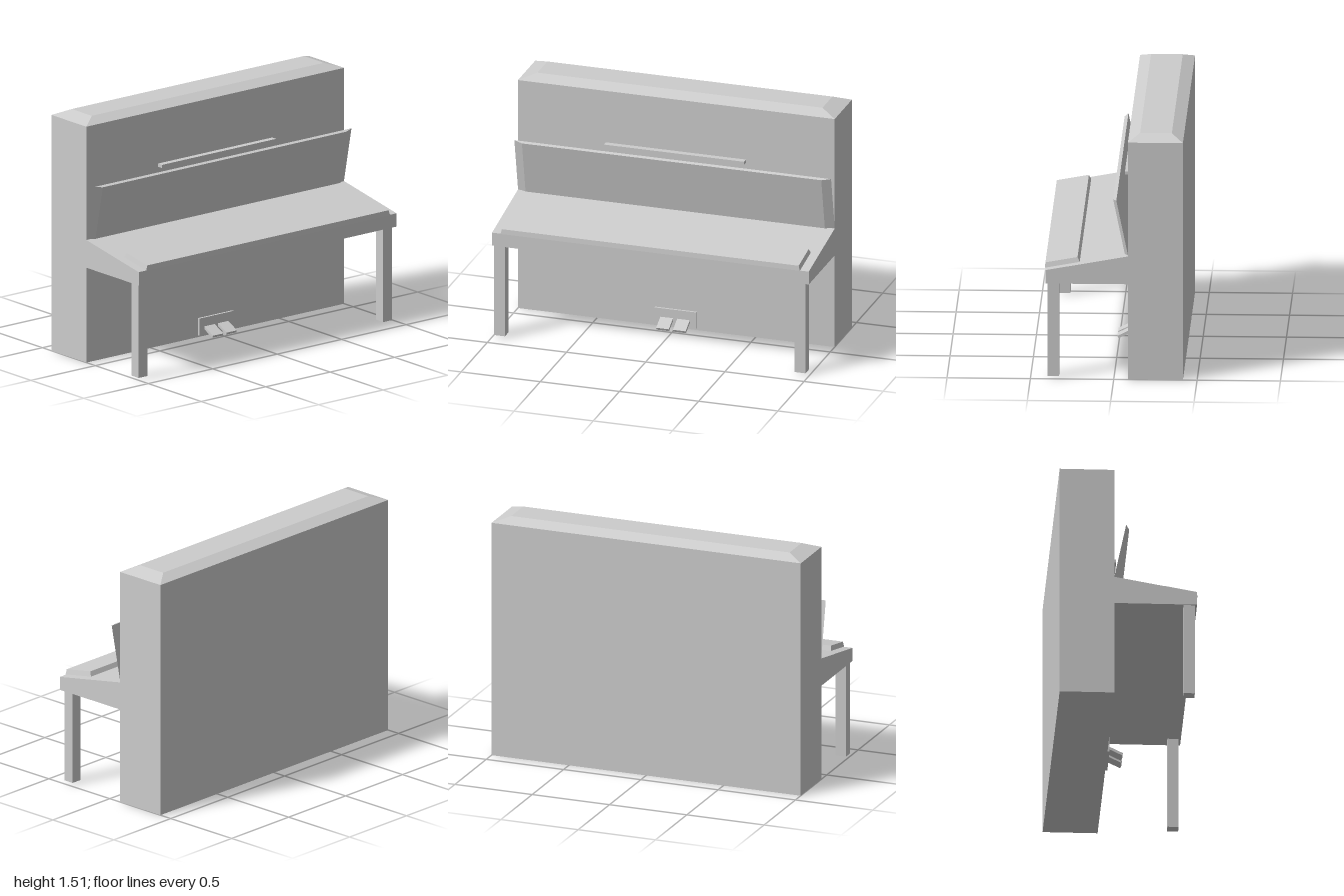
import * as THREE from 'three';

const material = new THREE.MeshStandardMaterial({ color: 0xcccccc, flatShading: true });

// Adds a named mesh at a position, tilted about the x axis
function add(group, name, geometry, x, y, z, tilt = 0) {
  const mesh = new THREE.Mesh(geometry, material);
  mesh.name = name;
  mesh.position.set(x, y, z);
  mesh.rotation.x = tilt;
  group.add(mesh);
  return mesh;
}

// Box whose top face is inset along x and z
function taperedBox(w, h, d, insetX, insetZ) {
  const geometry = new THREE.BoxGeometry(w, h, d);
  const p = geometry.attributes.position;
  for (let i = 0; i < p.count; i++) {
    if (p.getY(i) > 0) {
      p.setX(i, p.getX(i) - Math.sign(p.getX(i)) * insetX);
      p.setZ(i, p.getZ(i) - Math.sign(p.getZ(i)) * insetZ);
    }
  }
  geometry.computeVertexNormals();
  return geometry;
}

export function createModel() {
  const piano = new THREE.Group();
  piano.name = 'uprightPiano';

  // Tall cabinet and its bevelled lid
  add(piano, 'cabinet', new THREE.BoxGeometry(2, 1.472, 0.33), 0, 0.736, -0.25);
  add(piano, 'lid', taperedBox(2, 0.034, 0.33, 0.1, 0.07), 0, 1.489, -0.25);

  // Wedge-shaped keybed: side profile (z, y) extruded across the width
  const profile = new THREE.Shape([
    [0.41, 0.592], [0.41, 0.675], [-0.085, 0.765], [-0.085, 0.592],
  ].map(([z, y]) => new THREE.Vector2(-z, y)));
  const keybed = new THREE.ExtrudeGeometry(profile, { depth: 2, bevelEnabled: false });
  keybed.translate(0, 0, -1).rotateY(Math.PI / 2);
  add(piano, 'keybed', keybed, 0, 0, 0);

  // Keyboard slab lying on the sloped keybed
  add(piano, 'keyboard', taperedBox(1.89, 0.03, 0.212, 0.008, 0.008), 0, 0.709, 0.313, 0.181);

  // Raised fallboard leaning forward, with bevelled ends
  add(piano, 'fallboard', taperedBox(2, 0.022, 0.348, 0.055, 0.002), 0, 0.938, -0.04, Math.PI / 2 + 0.203);

  // Music ledge
  add(piano, 'musicLedge', new THREE.BoxGeometry(0.885, 0.02, 0.04), -0.002, 1.13, -0.067);

  // Front legs
  for (const x of [-0.957, 0.941]) {
    add(piano, 'frontLeg', new THREE.BoxGeometry(0.068, 0.582, 0.068), x, 0.301, 0.363);
  }

  // Pedal plate and pedals
  add(piano, 'pedalPlate', new THREE.BoxGeometry(0.265, 0.107, 0.016), -0.002, 0.065, -0.079);
  for (const x of [-0.056, 0.05]) {
    add(piano, 'pedal', new THREE.BoxGeometry(0.08, 0.016, 0.092), x, 0.036, -0.034, 0.46);
  }

  return piano;
}
